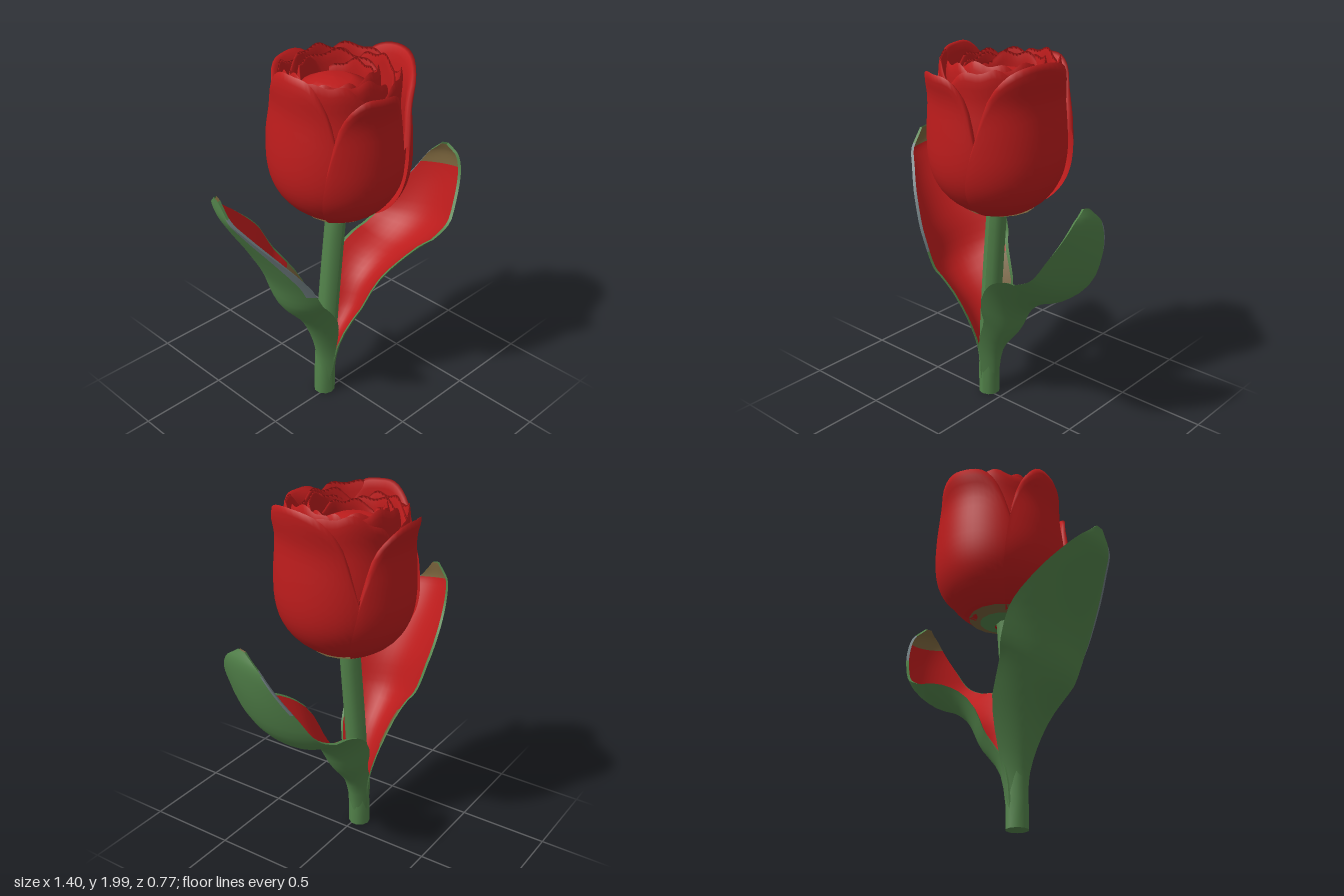
import * as THREE from 'three';

const mat = (name, color) => {
  const m = new THREE.MeshStandardMaterial({ color, side: THREE.DoubleSide });
  m.name = name;
  return m;
};

// Smooth sheet through point(u, v), u and v running 0..1;
// paint(u, v) picks the material index of each cell
function sheet(nu, nv, point, paint) {
  const pos = [], idx = [];
  const g = new THREE.BufferGeometry();
  for (let j = 0; j <= nv; j++)
    for (let i = 0; i <= nu; i++) pos.push(...point(i / nu, j / nv));
  for (let j = 0; j < nv; j++)
    for (let i = 0; i < nu; i++) {
      const a = j * (nu + 1) + i, b = a + 1, c = a + nu + 1, d = c + 1;
      if (paint) g.addGroup(idx.length, 6, paint((i + 0.5) / nu, (j + 0.5) / nv));
      idx.push(a, b, d, a, d, c);
    }
  g.setAttribute('position', new THREE.Float32BufferAttribute(pos, 3));
  g.setIndex(idx);
  g.computeVertexNormals();
  return g;
}

export function createModel() {
  const model = new THREE.Group();
  model.name = 'tulip';
  const red = mat('petal red', 0xbc1c1c);
  const green = mat('leaf green', 0x52824a);
  const olive = mat('olive brown', 0x75603a);
  const grey = mat('edge grey', 0x6f7d80);
  const add = (parent, name, geo, m) => {
    const mesh = new THREE.Mesh(geo, m);
    mesh.name = name;
    parent.add(mesh);
  };

  // Stem, leaning slightly toward +x as it rises
  const stem = new THREE.CylinderGeometry(0.056, 0.06, 1.18, 10, 8);
  const p = stem.attributes.position;
  for (let i = 0; i < p.count; i++) {
    const y = p.getY(i) + 0.59, t = y / 1.18;
    p.setXYZ(i, p.getX(i) - 0.1 + 0.08 * t * t * (1.6 - 0.6 * t), y, p.getZ(i) - 0.02 * (1 - t));
  }
  stem.computeVertexNormals();
  add(model, 'stem', stem, green);

  // Flower petals follow one cup profile of (radius, height)
  const flower = new THREE.Group();
  flower.name = 'flower';
  model.add(flower);
  const profile = new THREE.SplineCurve([
    [0.05, 1.15], [0.16, 1.175], [0.265, 1.25], [0.328, 1.35], [0.352, 1.47],
    [0.347, 1.62], [0.33, 1.78], [0.338, 1.9], [0.335, 2.0],
  ].map(q => new THREE.Vector2(...q)));

  // Each petal runs up its outside, over the rim and part way down inside
  function petal(name, { angle, half, tip, drop, power = 2.2, scale = 1, flare, thick = 0.035, cz = 0, wave = 0.004 }) {
    const geo = sheet(20, 32, (u, k) => {
      const s = u * 2 - 1, v = k * 1.5 > 1 ? 2 - k * 1.5 : k * 1.5;
      const top = tip - drop * Math.abs(s) ** power + wave * Math.sin(s * 9 + angle);
      const q = profile.getPoint(Math.min(1, v * top));
      const a = THREE.MathUtils.degToRad(angle + s * half * (0.86 + 0.14 * Math.sin(v * Math.PI)));
      const inset = thick * THREE.MathUtils.smoothstep(k * 1.5, 0.93, 1.1);
      const r = q.x * scale + 0.016 * s * Math.min(1, v * 3) + flare * v ** 5 * (1 - s * s) - inset;
      return [Math.cos(a) * r, q.y + (1 - scale) * 0.05 * (1 - v), cz * v + Math.sin(a) * r * 1.04];
    });
    add(flower, name, geo, red);
  }

  // Four large outer petals
  petal('outerPetalRight', { angle: 14, half: 63, tip: 1, drop: 0.38, power: 2.8, flare: 0.04 });
  petal('outerPetalFront', { angle: 106, half: 44, tip: 0.92, drop: 0.32, power: 3, flare: 0.05 });
  petal('outerPetalLeft', { angle: 182, half: 50, tip: 1, drop: 0.32, power: 2.8, flare: -0.015 });
  petal('outerPetalBack', { angle: 270, half: 54, tip: 0.92, drop: 0.32, power: 2.8, flare: 0.05 });

  // Nested inner petals
  const layers = [
    { scale: 0.91, n: 4, turn: 60, tip: 0.95, drop: 0.14, flare: -0.005 },
    { scale: 0.8, n: 4, turn: 20, tip: 0.95, drop: 0.1, flare: -0.015 },
    { scale: 0.69, n: 3, turn: 75, tip: 0.94, drop: 0.09, flare: -0.025 },
    { scale: 0.6, n: 3, turn: 10, tip: 0.92, drop: 0.08, flare: -0.03 },
  ];
  layers.forEach(({ n, turn, ...rest }, k) => {
    for (let i = 0; i < n; i++)
      petal('innerPetal', {
        ...rest, angle: turn + (i * 360) / n, half: 215 / n, wave: 0.014, thick: 0.018,
        tip: rest.tip + 0.02 * Math.sin(i * 2.3 + k), cz: -0.012 * k,
      });
  });

  // Closed heart of the bloom
  const heart = new THREE.LatheGeometry(
    [[0.21, 1.6], [0.2, 1.76], [0.17, 1.85], [0.09, 1.885], [0, 1.89]].map(q => new THREE.Vector2(...q)), 20);
  heart.translate(0, 0, -0.04);
  add(flower, 'heart', heart, red);

  // Seat under the petals: green collar with an olive fringe
  const ring = pts => new THREE.LatheGeometry(pts.map(q => new THREE.Vector2(...q)), 16);
  add(flower, 'flowerCollar', ring([[0.045, 1.135], [0.075, 1.147], [0.125, 1.159]]), green);
  add(flower, 'flowerFringe', ring([[0.125, 1.159], [0.185, 1.18]]), olive);

  // Leaf stations: midrib x, y, z, half width, channel depth
  // outside, inside and rim choose colours: 0 red, 1 green, 2 olive, 3 grey
  function leaf(name, dir, across, { outside, inside, rim }, stations) {
    const group = new THREE.Group();
    group.name = name;
    model.add(group);
    const colours = [red, green, olive, grey];
    const mid = new THREE.CatmullRomCurve3(stations.map(s => new THREE.Vector3(s[0], s[1], s[2])));
    const size = new THREE.CatmullRomCurve3(stations.map(s => new THREE.Vector3(s[3], s[4], 0)));
    const at = (s, v, lift) => {
      const m = mid.getPoint(v), w = size.getPoint(v), t = mid.getTangent(v);
      const len = Math.hypot(t.x, t.y);
      const d = w.y * s * s + lift;
      return [
        m.x + across[0] * w.x * s - (dir * t.y * d) / len,
        m.y + across[1] * w.x * s + (dir * t.x * d) / len,
        m.z + across[2] * w.x * s,
      ];
    };
    const inner = 0.93, lift = 0.016;
    add(group, 'leafOutside', sheet(24, 32, (u, v) => at(u * 2 - 1, v, 0), outside), colours);
    add(group, 'leafInside', sheet(14, 32, (u, v) => at((u * 2 - 1) * inner, v, lift), inside), colours);
    for (const side of [-1, 1])
      add(group, 'leafRim', sheet(1, 32, (u, v) => at(side * (1 - u * (1 - inner)), v, u * lift),
        (u, v) => rim(side, v)), colours);
  }

  leaf('leftLeaf', 1, [-0.02, 0.22, 0.98], {
    outside: (u, v) => (u < 0.04 && v > 0.72 && v < 0.88 ? 3 : 1),
    inside: (u, v) => (v > 0.82 ? 2 : 0),
    rim: (side, v) => (side < 0 && v > 0.72 && v < 0.92 ? 3 : 1),
  }, [
    [-0.045, 0.08, -0.02, 0.055, 0.05], [0.0, 0.3, -0.01, 0.095, 0.09], [0.12, 0.46, 0, 0.15, 0.13],
    [0.2, 0.61, 0.015, 0.205, 0.16], [0.31, 0.705, 0.04, 0.25, 0.155], [0.46, 0.78, 0.065, 0.275, 0.13],
    [0.58, 0.89, 0.085, 0.27, 0.1], [0.65, 1.06, 0.105, 0.225, 0.07], [0.685, 1.22, 0.13, 0.155, 0.03],
    [0.69, 1.31, 0.14, 0.1, 0.015], [0.67, 1.37, 0.15, 0.02, 0],
  ]);
  leaf('rightLeaf', -1, [-0.2, -0.2, 0.98], {
    outside: (u, v) => (u > 0.92 && v > 0.48 && v < 0.9 ? 3 : 1),
    inside: (u, v) => (v > 0.86 || (u < 0.14 && v > 0.23 && v < 0.31) ? 2 : 0),
    rim: (side, v) => (side > 0 && v > 0.48 && v < 0.9 ? 3 : 1),
  }, [
    [-0.155, 0.08, -0.02, 0.055, 0.05], [-0.16, 0.3, -0.02, 0.09, 0.08], [-0.25, 0.54, -0.03, 0.18, 0.15],
    [-0.4, 0.73, -0.05, 0.25, 0.175], [-0.465, 0.92, -0.07, 0.27, 0.145], [-0.555, 1.1, -0.1, 0.225, 0.09],
    [-0.65, 1.26, -0.125, 0.15, 0.045], [-0.695, 1.35, -0.13, 0.1, 0.02], [-0.7, 1.44, -0.13, 0.02, 0],
  ]);
  return model;
}
